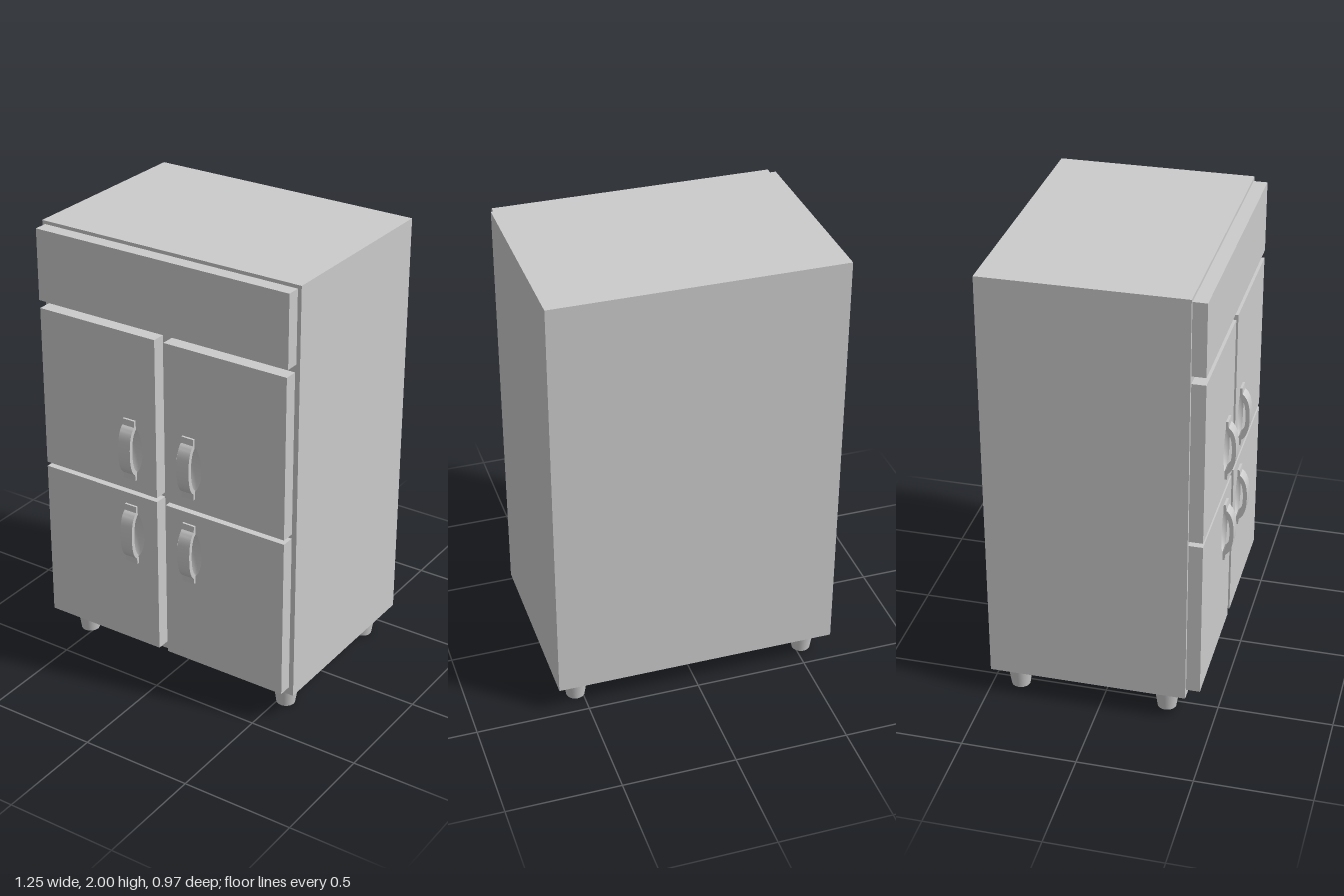
import * as THREE from 'three';
import { toCreasedNormals } from 'three/addons/utils/BufferGeometryUtils.js';

const grey = new THREE.MeshStandardMaterial({ color: 0xcccccc });
const greyDouble = new THREE.MeshStandardMaterial({ color: 0xcccccc, side: THREE.DoubleSide });

const BACK = -0.485, FACE = 0.38, DOOR_FACE = 0.44;
const GRIP = { rx: 0.0625, ry: 0.12, depth: 0.045 };

function add(parent, name, geometry, x = 0, y = 0, z = 0, material = grey) {
  const mesh = new THREE.Mesh(geometry, material);
  mesh.name = name;
  mesh.position.set(x, y, z);
  parent.add(mesh);
  return mesh;
}

// Box given by its limits
function addBox(parent, name, [x0, x1], [y0, y1], [z0, z1]) {
  return add(parent, name, new THREE.BoxGeometry(x1 - x0, y1 - y0, z1 - z0),
    (x0 + x1) / 2, (y0 + y1) / 2, (z0 + z1) / 2);
}

// Door slab with an oval opening for the finger recess
function doorGeometry([x0, x1], [y0, y1], hx, hy) {
  const shape = new THREE.Shape([
    new THREE.Vector2(x0, y0), new THREE.Vector2(x1, y0),
    new THREE.Vector2(x1, y1), new THREE.Vector2(x0, y1),
  ]);
  const hole = new THREE.Path();
  hole.absellipse(hx, hy, GRIP.rx, GRIP.ry, 0, Math.PI * 2, true);
  shape.holes.push(hole);
  return new THREE.ExtrudeGeometry(shape, { depth: DOOR_FACE - FACE, bevelEnabled: false, curveSegments: 16 });
}

// Hollow half ellipsoid sunk behind the door face
function recessGeometry() {
  const geometry = new THREE.SphereGeometry(1, 32, 10, 0, Math.PI * 2, Math.PI / 2, Math.PI / 2);
  geometry.rotateX(Math.PI / 2);
  geometry.scale(GRIP.rx, GRIP.ry, GRIP.depth);
  return geometry;
}

// Bowed strap with a flat tab at each end, drawn in side profile
function handleGeometry() {
  const s = new THREE.Shape();
  s.moveTo(0, -0.14);
  s.lineTo(0.01, -0.14);
  s.lineTo(0.012, -0.112);
  s.bezierCurveTo(0.035, -0.095, 0.046, -0.06, 0.046, 0);
  s.bezierCurveTo(0.046, 0.06, 0.035, 0.095, 0.012, 0.112);
  s.lineTo(0.01, 0.14);
  s.lineTo(0, 0.14);
  s.lineTo(0, 0.098);
  s.bezierCurveTo(0.018, 0.085, 0.028, 0.05, 0.028, 0);
  s.bezierCurveTo(0.028, -0.05, 0.018, -0.085, 0, -0.098);
  s.closePath();
  const geometry = new THREE.ExtrudeGeometry(s, { depth: 0.06, bevelEnabled: false, curveSegments: 10 });
  geometry.translate(0, 0, -0.03);
  geometry.rotateY(-Math.PI / 2);
  return toCreasedNormals(geometry, 0.6);
}

export function createModel() {
  const model = new THREE.Group();
  model.name = 'cabinet';

  // Carcass and top drawer front
  addBox(model, 'body', [-0.627, 0.627], [0.12, 2], [BACK, FACE]);
  addBox(model, 'drawerFront', [-0.613, 0.61], [1.667, 1.985], [FACE, DOOR_FACE]);

  // Four doors, each with a recess and a handle near the middle
  const columns = [
    { side: 'right', x: [-0.61, -0.025], hx: -0.157 },
    { side: 'left', x: [0.02, 0.605], hx: 0.14 },
  ];
  const rows = [
    { level: 'upper', y: [0.905, 1.632], hy: 1.1 },
    { level: 'lower', y: [0.155, 0.885], hy: 0.693 },
  ];
  const recess = recessGeometry();
  const handle = handleGeometry();
  for (const { side, x, hx } of columns) {
    for (const { level, y, hy } of rows) {
      const door = new THREE.Group();
      door.name = `${level}${side === 'left' ? 'Left' : 'Right'}Door`;
      add(door, 'doorPanel', doorGeometry(x, y, hx, hy), 0, 0, FACE);
      add(door, 'fingerRecess', recess, hx, hy, DOOR_FACE, greyDouble);
      add(door, 'handle', handle, hx, hy, DOOR_FACE);
      model.add(door);
    }
  }

  // Tapered round feet
  const foot = new THREE.CylinderGeometry(0.059, 0.041, 0.12, 32);
  for (const x of [-0.53, 0.53]) {
    for (const z of [0.28, -0.38]) add(model, 'foot', foot, x, 0.06, z);
  }

  return model;
}
